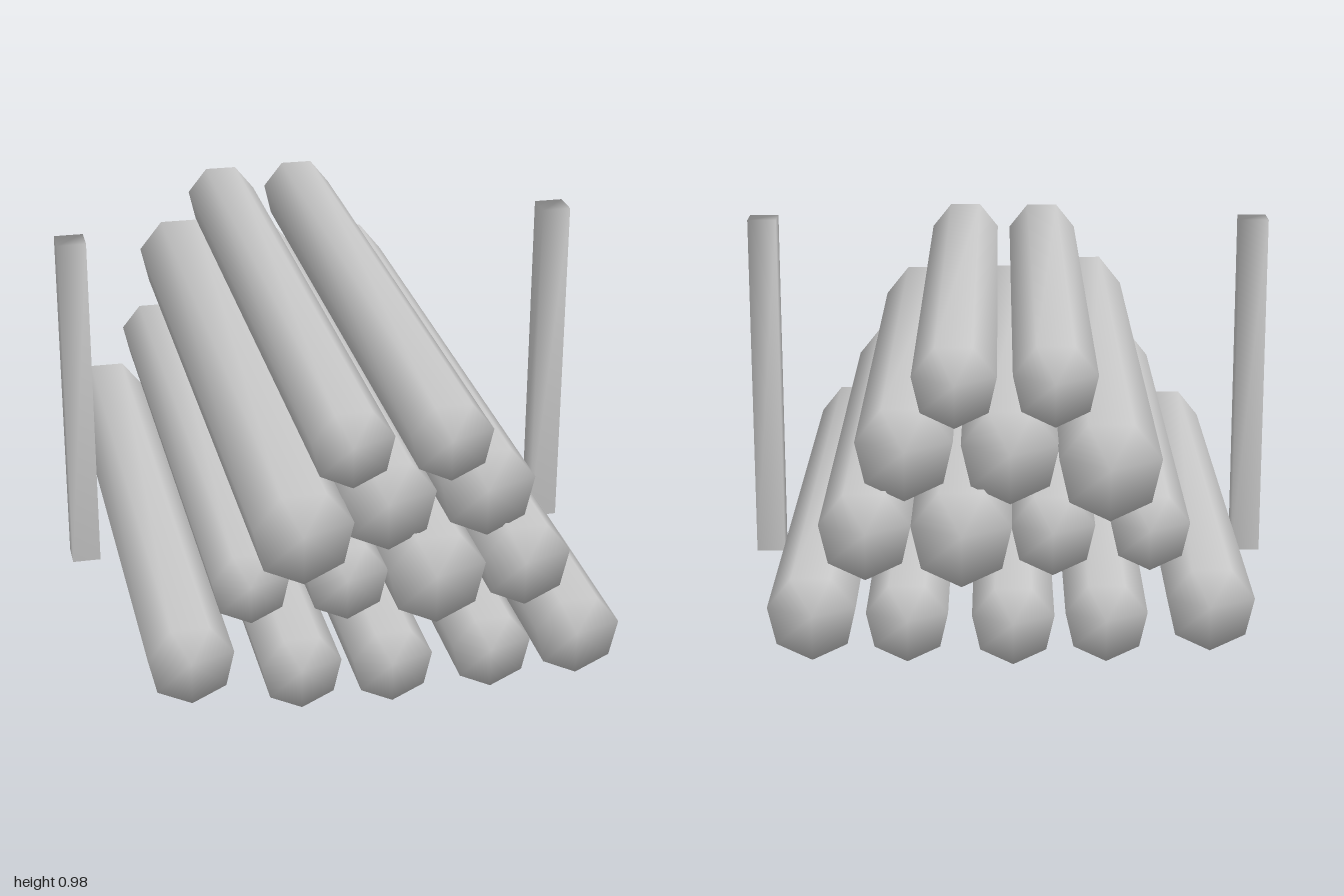
import * as THREE from 'three';
import { mergeVertices } from 'three/addons/utils/BufferGeometryUtils.js';

// Weld all corners so normals are smooth across every edge
function soften(geometry) {
  geometry.deleteAttribute('normal');
  geometry.deleteAttribute('uv');
  const welded = mergeVertices(geometry, 1e-4);
  welded.computeVertexNormals();
  return welded;
}

export function createModel() {
  const model = new THREE.Group();
  model.name = 'logPile';
  const grey = new THREE.MeshStandardMaterial({ color: 0xcccccc });
  grey.name = 'paleGrey';

  // Seven-sided logs, one corner pointing down: [x, y, radius, back z, front z]
  const rows = [
    [[-0.518, 0.125, 0.115, -0.86, 0.86], [-0.247, 0.124, 0.106, -0.95, 0.95], [-0.012, 0.124, 0.106, -0.97, 0.965],
      [0.255, 0.124, 0.106, -0.95, 0.95], [0.498, 0.125, 0.115, -0.92, 0.92]],
    [[-0.36, 0.332, 0.103, -0.86, 0.86], [-0.113, 0.332, 0.109, -0.88, 0.88],
      [0.118, 0.331, 0.131, -0.905, 0.905], [0.363, 0.33, 0.12, -0.88, 0.88]],
    [[-0.251, 0.537, 0.13, -1, 1], [-0.005, 0.537, 0.127, -0.875, 0.875], [0.263, 0.537, 0.127, -0.85, 0.85]],
    [[-0.116, 0.742, 0.108, -0.955, 0.95], [0.133, 0.742, 0.108, -0.965, 0.96]],
  ];
  rows.forEach((row, i) => {
    const group = new THREE.Group();
    group.name = `logRow${i + 1}`;
    row.forEach(([x, y, r, back, front], j) => {
      const geometry = new THREE.CylinderGeometry(r, r, front - back, 7);
      geometry.rotateX(Math.PI / 2);
      const log = new THREE.Mesh(soften(geometry), grey);
      log.name = `log${i + 1}_${j + 1}`;
      log.position.set(x, y, (front + back) / 2);
      group.add(log);
    });
    model.add(group);
  });

  // Square upright posts on both sides
  const postGeometry = soften(new THREE.BoxGeometry(0.08, 0.98, 0.08));
  for (const [name, x] of [['rightPost', -0.695], ['leftPost', 0.69]]) {
    const post = new THREE.Mesh(postGeometry, grey);
    post.name = name;
    post.position.set(x, 0.49, -0.017);
    model.add(post);
  }
  return model;
}
